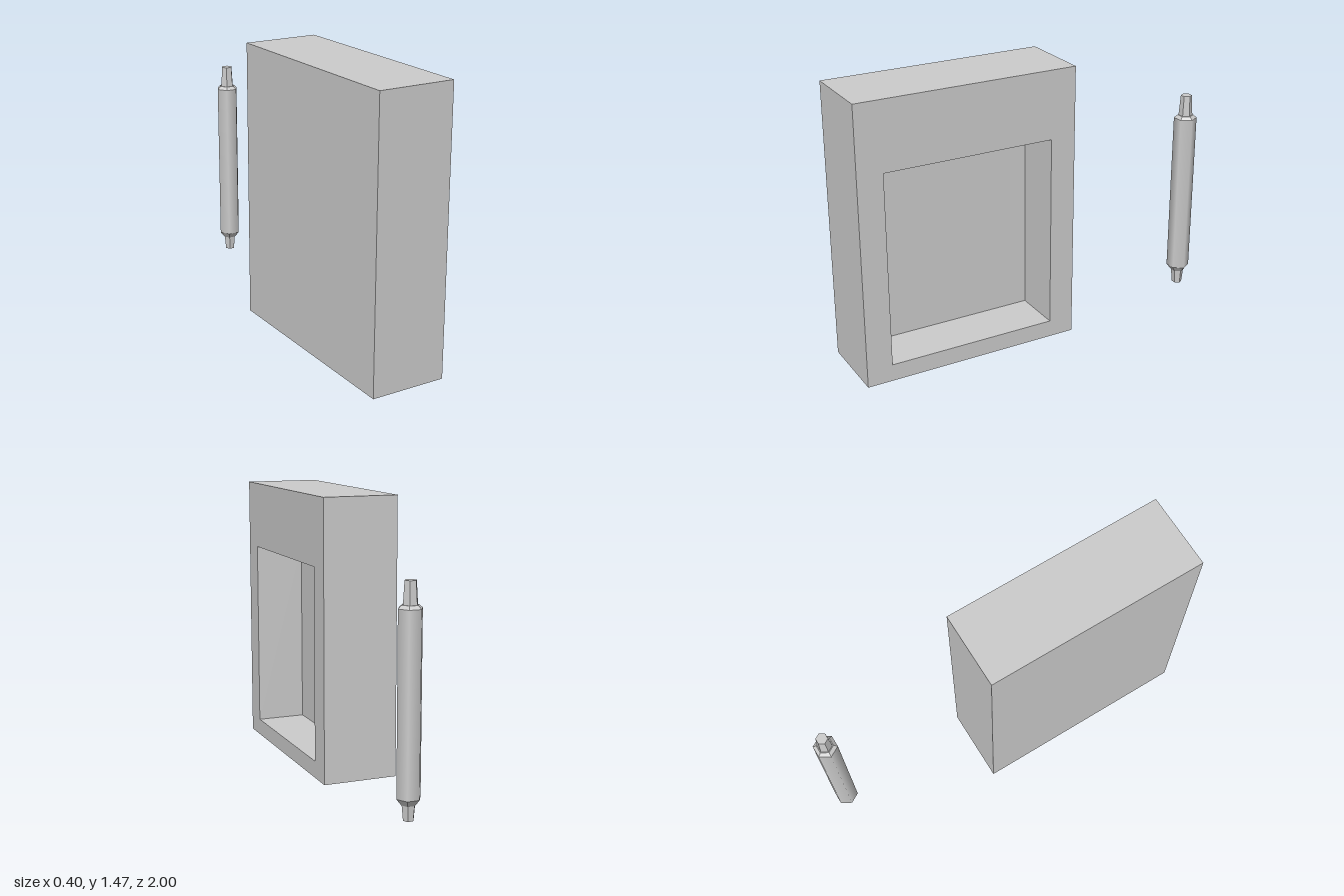
import * as THREE from 'three';

const smooth = new THREE.MeshStandardMaterial({ color: 0xcccccc });
const flat = new THREE.MeshStandardMaterial({ color: 0xcccccc, flatShading: true });

function add(parent, name, geometry, material, x = 0, y = 0, z = 0) {
  const mesh = new THREE.Mesh(geometry, material);
  mesh.name = name;
  mesh.position.set(x, y, z);
  parent.add(mesh);
  return mesh;
}

// Rectangle as four points, in (-z, y)
function rect(z0, z1, y0, y1) {
  return [[-z0, y0], [-z1, y0], [-z1, y1], [-z0, y1]].map(p => new THREE.Vector2(...p));
}

export function createModel() {
  const model = new THREE.Group();
  model.name = 'cabinetAndRod';

  // Upright block with a rectangular recess sunk into its +x side
  const cabinet = new THREE.Group();
  cabinet.name = 'cabinet';
  model.add(cabinet);
  const left = -0.2, right = 0.2, recessBack = -0.067;
  const outline = rect(1, -0.175, 0, 1.47);
  const opening = rect(0.865, -0.04, 0.09, 1.11);

  const shell = new THREE.Shape(outline);
  shell.holes.push(new THREE.Path(opening));
  const layers = [
    ['recessedFrame', shell, recessBack, right],
    ['backSlab', new THREE.Shape(outline), left, recessBack],
  ];
  for (const [name, shape, x0, x1] of layers) {
    const geometry = new THREE.ExtrudeGeometry(shape, { depth: x1 - x0, bevelEnabled: false });
    geometry.rotateY(Math.PI / 2);
    add(cabinet, name, geometry, flat, x0);
  }

  // Six-sided rod standing behind the block, with a tapered tip at each end
  const rod = new THREE.Group();
  rod.name = 'rod';
  rod.position.set(0.09, 0, -0.946);
  model.add(rod);
  // name, bottom radius, top radius, bottom y, top y, open ends, material
  const sections = [
    ['lowerTip', 0.027, 0.034, 0.053, 0.128, false, flat],
    ['lowerBevel', 0.036, 0.061, 0.128, 0.16, false, flat],
    ['rodBody', 0.061, 0.061, 0.16, 1.037, true, smooth],
    ['upperBevel', 0.061, 0.042, 1.037, 1.053, false, flat],
    ['upperTip', 0.037, 0.03, 1.053, 1.163, false, flat],
  ];
  for (const [name, rBottom, rTop, y0, y1, open, material] of sections) {
    const geometry = new THREE.CylinderGeometry(rTop, rBottom, y1 - y0, 6, 1, open, Math.PI / 6);
    add(rod, name, geometry, material, 0, (y0 + y1) / 2, 0);
  }

  return model;
}
